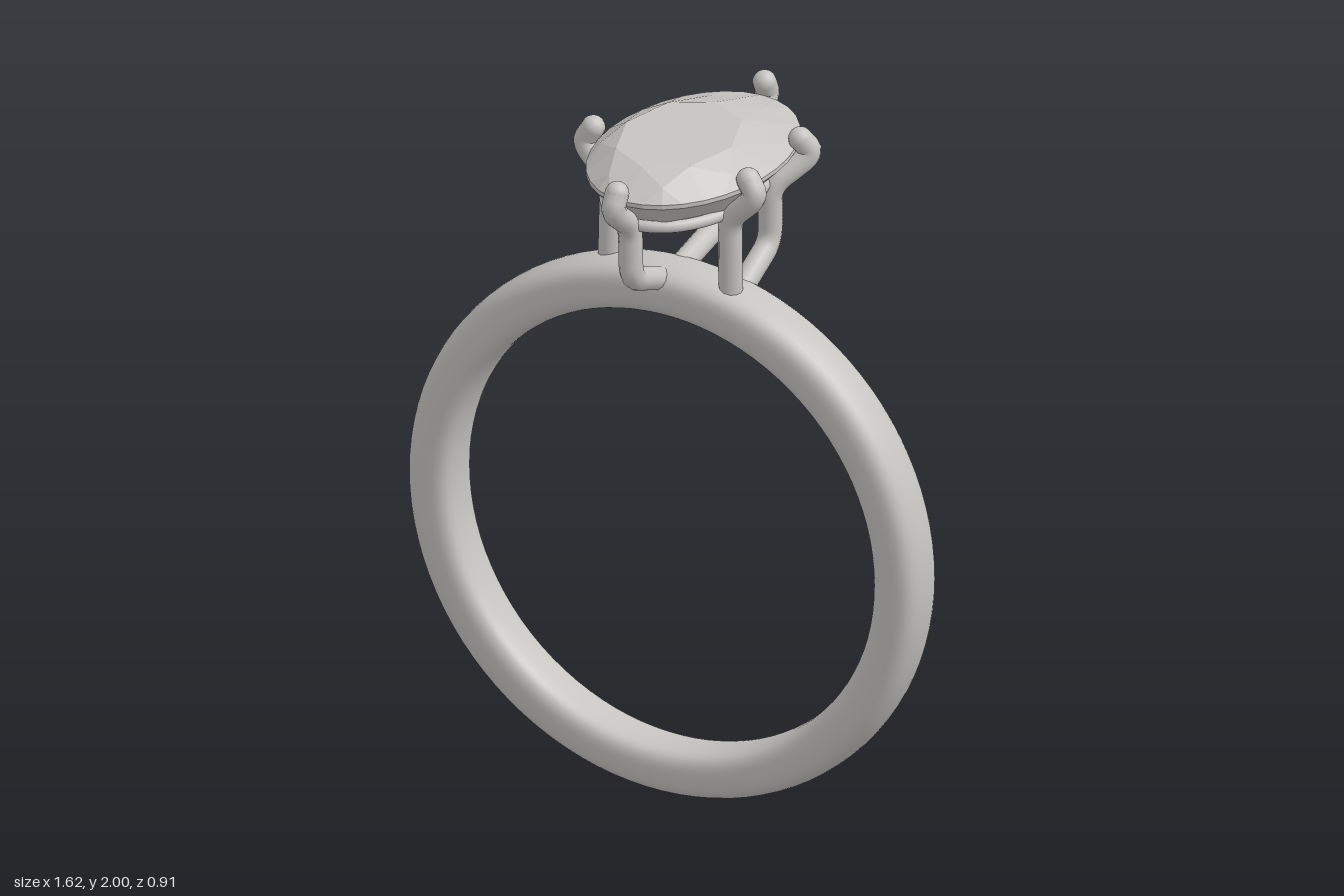
import * as THREE from 'three';

const V = (x, y, z) => new THREE.Vector3(x, y, z);

// Polyline path with softly rounded bends
function bentPath(points, round = 0.045) {
  const path = new THREE.CurvePath();
  let from = points[0];
  for (let i = 1; i < points.length - 1; i++) {
    const p = points[i];
    const near = q => p.clone().lerp(q, Math.min(0.45, round / p.distanceTo(q)));
    const a = near(points[i - 1]), b = near(points[i + 1]);
    path.add(new THREE.LineCurve3(from, a));
    path.add(new THREE.QuadraticBezierCurve3(a, p, b));
    from = b;
  }
  path.add(new THREE.LineCurve3(from, points[points.length - 1]));
  return path;
}

// Domed band, a little wider at the top than at the bottom
function bandGeometry() {
  const half = [[0.667, 0.045], [0.68, 0.072], [0.705, 0.085], [0.75, 0.086], [0.782, 0.077], [0.802, 0.052]];
  const ring = [V(0.664, 0, 0), ...half.map(([r, w]) => V(r, -w, 0)), V(0.81, 0, 0),
    ...half.slice().reverse().map(([r, w]) => V(r, w, 0))];
  const profile = new THREE.CatmullRomCurve3(ring, true).getPoints(40).map(p => new THREE.Vector2(p.x, p.y));
  const geo = new THREE.LatheGeometry(profile, 96).rotateX(Math.PI / 2);
  const pos = geo.attributes.position;
  for (let i = 0; i < pos.count; i++) pos.setZ(i, pos.getZ(i) * (0.98 + 0.09 * pos.getY(i)));
  return geo.translate(0, 0.81, 0.12);
}

// Faceted oval stone with its table and point shifted forward
function stoneGeometry() {
  const N = 8, F = 4;
  const ring = (n, shift, rx, rz, cz, y) => Array.from({ length: n }, (_, i) => {
    const a = (i + shift) / n * Math.PI * 2;
    const z = cz + rz * Math.sin(a);
    return V(rx * Math.cos(a), typeof y === 'function' ? y(z) : y, z);
  });
  const tableY = z => 1.994 - 0.048 * z;
  const table = ring(N, 0, 0.165, 0.21, 0.08, tableY);
  const crown = ring(N, 0.5, 0.222, 0.31, 0.04, 1.95);
  const girdleTop = ring(N * F, 0, 0.263, 0.386, 0, 1.913);
  const girdleLow = ring(N * F, 0, 0.263, 0.386, 0, 1.9);
  const pavilion = ring(N, 0.5, 0.195, 0.28, 0.03, 1.815);
  const middle = V(0, tableY(0.08), 0.08), point = V(0, 1.69, 0.09);
  const out = [];
  const tri = (...p) => p.forEach(v => out.push(v.x, v.y, v.z));
  for (let i = 0; i < N; i++) {
    const next = (i + 1) % N, prev = (i + N - 1) % N, g = i * F;
    tri(middle, table[next], table[i]);
    tri(table[i], table[next], crown[i]);
    tri(table[i], crown[i], girdleTop[g]);
    tri(table[i], girdleTop[g], crown[prev]);
    tri(girdleLow[g], pavilion[i], pavilion[prev]);
    tri(point, pavilion[prev], pavilion[i]);
    for (let k = g; k < g + F; k++) {
      const m = (k + 1) % (N * F);
      tri(crown[i], girdleTop[m], girdleTop[k]);
      tri(girdleTop[k], girdleTop[m], girdleLow[m]);
      tri(girdleTop[k], girdleLow[m], girdleLow[k]);
      tri(pavilion[i], girdleLow[k], girdleLow[m]);
    }
  }
  const geo = new THREE.BufferGeometry();
  geo.setAttribute('position', new THREE.Float32BufferAttribute(out, 3));
  geo.computeVertexNormals();
  return geo;
}

export function createModel() {
  const model = new THREE.Group();
  model.name = 'ring';
  const silver = new THREE.MeshStandardMaterial({ color: 0xc6c4c1 });
  silver.name = 'silver';
  const add = (parent, name, geo) => {
    const mesh = new THREE.Mesh(geo, silver);
    mesh.name = name;
    parent.add(mesh);
    return mesh;
  };

  add(model, 'band', bandGeometry());
  add(model, 'stone', stoneGeometry());

  // Oval rail joining the prongs under the stone
  const rail = new THREE.CatmullRomCurve3(Array.from({ length: 16 }, (_, i) => {
    const a = i / 16 * Math.PI * 2;
    return V(0.2 * Math.cos(a), 1.82, 0.027 + 0.302 * Math.sin(a));
  }), true);
  add(model, 'rail', new THREE.TubeGeometry(rail, 72, 0.018, 8, true));

  // Prongs, each listed from its tip down to the band
  const r = 0.034;
  const prongs = {
    frontProng: [V(-0.015, 1.945, 0.405), V(-0.017, 1.895, 0.43), V(-0.015, 1.815, 0.33), V(-0.012, 1.65, 0.33), V(-0.01, 1.585, 0.17)],
    backProng: [V(0, 1.945, -0.405), V(0, 1.895, -0.428), V(0, 1.815, -0.275), V(0, 1.645, -0.275), V(0, 1.585, 0.06)],
    leftFrontProng: [V(0.255, 1.94, 0.145), V(0.287, 1.895, 0.152), V(0.197, 1.81, 0.145), V(0.197, 1.56, 0.14)],
    leftBackProng: [V(0.255, 1.94, -0.15), V(0.285, 1.895, -0.172), V(0.197, 1.81, -0.085), V(0.197, 1.64, -0.085), V(0.19, 1.56, 0.06)],
    rightProng: [V(-0.275, 1.945, 0.073), V(-0.307, 1.895, 0.077), V(-0.207, 1.81, 0.09), V(-0.207, 1.56, 0.1)],
  };
  for (const [name, points] of Object.entries(prongs)) {
    const prong = new THREE.Group();
    prong.name = name;
    model.add(prong);
    add(prong, 'prongWire', new THREE.TubeGeometry(bentPath(points), 48, r, 12));
    for (const end of [points[0], points[points.length - 1]]) {
      add(prong, 'prongEnd', new THREE.SphereGeometry(r, 14, 10)).position.copy(end);
    }
  }
  return model;
}
